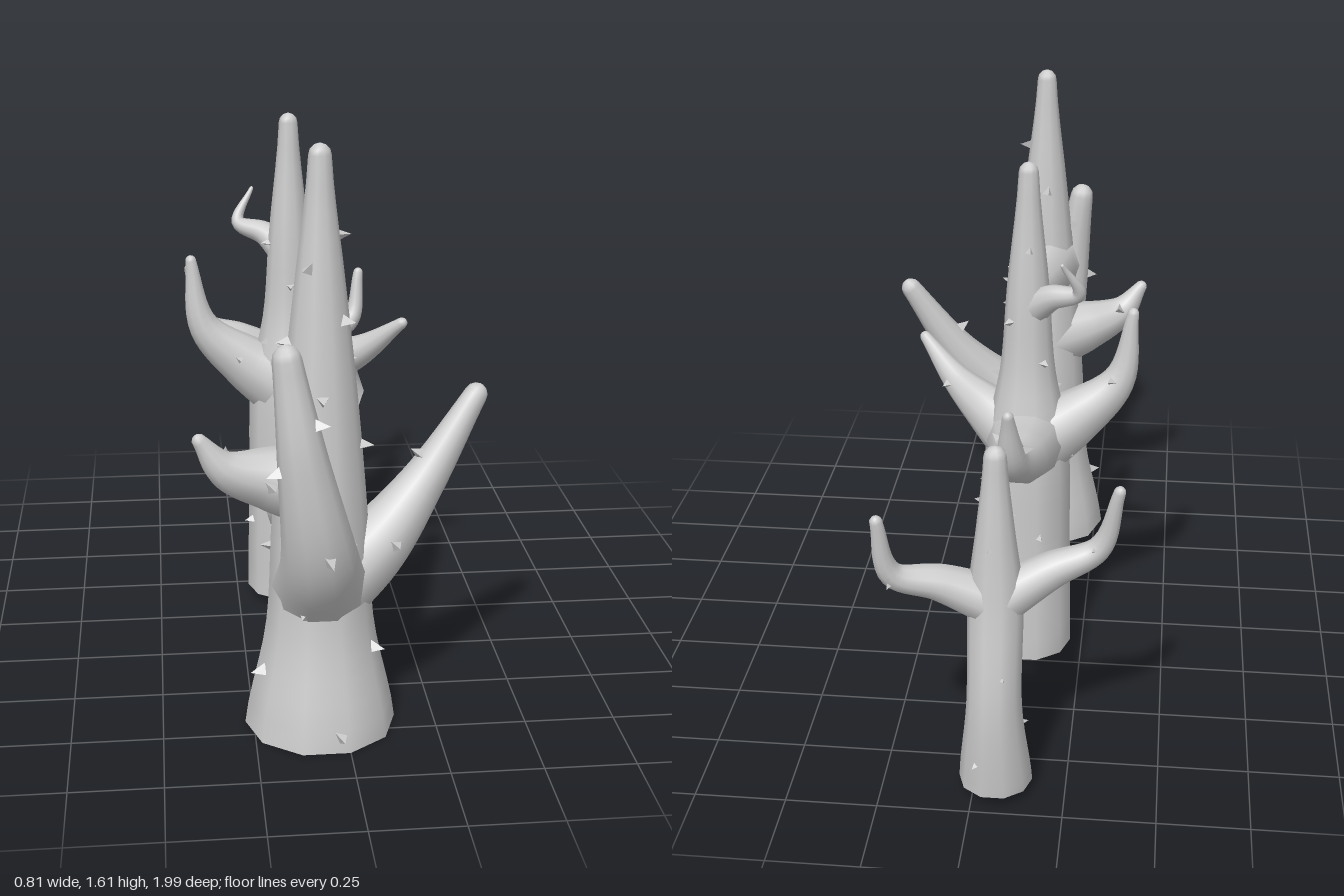
import * as THREE from 'three';

const skin = new THREE.MeshStandardMaterial({ color: 0xcccccc, side: THREE.DoubleSide });
const thornSkin = new THREE.MeshStandardMaterial({ color: 0xcccccc, flatShading: true });
const SIDES = 10;
const UP = new THREE.Vector3(0, 1, 0);

// Tapered tube along a curve, open at the root and rounded at the tip
function limbGeometry({ curve, radius, upright }) {
  const steps = 24, rings = [];
  for (let i = 0; i <= steps; i++) {
    const t = i / steps;
    const dir = i === 0 && upright ? UP : curve.getTangent(t);
    rings.push({ c: curve.getPoint(t), dir, r: radius(t) });
  }
  const end = rings[steps];
  for (const a of [0.5, 1, 1.45]) {
    const c = end.c.clone().addScaledVector(end.dir, end.r * Math.sin(a));
    rings.push({ c, dir: end.dir, r: end.r * Math.cos(a) });
  }
  const pos = [], index = [];
  const n = new THREE.Vector3(1, 0, 0), b = new THREE.Vector3();
  if (Math.abs(rings[0].dir.x) > 0.8) n.set(0, 0, 1);
  rings.forEach(({ c, dir, r }, i) => {
    n.addScaledVector(dir, -n.dot(dir)).normalize();
    b.crossVectors(dir, n);
    for (let j = 0; j < SIDES; j++) {
      const a = j / SIDES * Math.PI * 2;
      const p = c.clone().addScaledVector(n, r * Math.cos(a)).addScaledVector(b, r * Math.sin(a));
      pos.push(p.x, p.y, p.z);
      if (i === 0) continue;
      const k = (j + 1) % SIDES, lo = (i - 1) * SIDES, hi = i * SIDES;
      index.push(lo + j, lo + k, hi + k, lo + j, hi + k, hi + j);
    }
  });
  // Close the tip
  const last = (rings.length - 1) * SIDES;
  for (let j = 1; j < SIDES - 1; j++) index.push(last, last + j, last + j + 1);
  const g = new THREE.BufferGeometry();
  g.setAttribute('position', new THREE.Float32BufferAttribute(pos, 3));
  g.setIndex(index);
  g.computeVertexNormals();
  return g;
}

// Thorns spiral up a limb from parameter start, a golden angle apart
function addThorns(cactus, { curve, radius }, size, count, start) {
  const cone = new THREE.ConeGeometry(size * 0.5, size, 3);
  for (let i = 0; i < count; i++) {
    const t = start + (0.92 - start) * i / count, a = i * 2.4 + 0.2;
    const dir = curve.getTangent(t), out = new THREE.Vector3(Math.sin(a), 0, Math.cos(a));
    out.addScaledVector(dir, -out.dot(dir)).normalize();
    const thorn = new THREE.Mesh(cone, thornSkin);
    thorn.name = 'thorn';
    thorn.position.copy(curve.getPoint(t)).addScaledVector(out, radius(t) * 0.97 + size * 0.35);
    thorn.quaternion.setFromUnitVectors(UP, out);
    cactus.add(thorn);
  }
}

// One cactus at (x, z): addTrunk takes [height, radius] stations, addArm a root height and path
function makeCactus(name, x, z, thornSize) {
  const group = new THREE.Group();
  group.name = name;
  const addLimb = (part, limb, thorns, start) => {
    const mesh = new THREE.Mesh(limbGeometry(limb), skin);
    mesh.name = part;
    group.add(mesh);
    addThorns(group, limb, thornSize, thorns, start);
  };
  return {
    group,
    addTrunk(stations, thorns, sway = 0) {
      const curve = new THREE.CatmullRomCurve3(stations.map(([y]) =>
        new THREE.Vector3(x, y, z - sway * Math.sin(Math.PI * Math.min(y / 0.6, 1)))));
      const radii = new THREE.SplineCurve(stations.map(([, r], i) => new THREE.Vector2(i, r)));
      addLimb('trunk', { curve, radius: t => radii.getPoint(t).y, upright: true }, thorns, 0.03);
    },
    addArm(part, rootY, path, rootR, tipR, thorns) {
      const curve = new THREE.CatmullRomCurve3([[x, rootY, z], ...path].map(p => new THREE.Vector3(...p)));
      const radius = t => tipR + (rootR - tipR) * Math.pow(1 - t, 1.1);
      addLimb(part, { curve, radius }, thorns, 0.4);
    },
  };
}

function largeCactus() {
  const c = makeCactus('largeCactus', -0.065, 0.675, 0.042);
  c.addTrunk([[0, 0.208], [0.3, 0.148], [0.6, 0.13], [0.95, 0.1], [1.25, 0.067], [1.585, 0.03]], 20);
  c.addArm('frontArm', 0.4, [[-0.085, 0.58, 0.86], [-0.13, 0.85, 0.925], [-0.17, 1.125, 0.92]], 0.135, 0.038, 4);
  c.addArm('rightArm', 0.4, [[0.08, 0.505, 0.655], [0.22, 0.665, 0.605], [0.372, 0.9, 0.56]], 0.135, 0.032, 3);
  c.addArm('leftArm', 0.7, [[-0.2, 0.73, 0.7], [-0.32, 0.775, 0.74], [-0.385, 0.86, 0.755]], 0.125, 0.02, 2);
  c.addArm('backArm', 0.96, [[-0.05, 0.96, 0.48], [-0.035, 0.99, 0.345], [-0.04, 1.17, 0.288]], 0.115, 0.016, 3);
  return c.group;
}

function mediumCactus() {
  const c = makeCactus('mediumCactus', -0.08, -0.165, 0.03);
  c.addTrunk([[0.03, 0.137], [0.4, 0.13], [0.72, 0.122], [0.95, 0.079], [1.2, 0.06], [1.53, 0.028]], 18);
  c.addArm('frontArm', 0.3, [[-0.08, 0.38, 0.04], [-0.09, 0.48, 0.13], [-0.105, 0.65, 0.243]], 0.1, 0.017, 3);
  c.addArm('rightArm', 0.7, [[0.03, 0.78, -0.13], [0.14, 0.85, -0.06], [0.245, 0.95, 0.02]], 0.11, 0.017, 2);
  c.addArm('leftArm', 0.7, [[-0.22, 0.79, -0.16], [-0.345, 0.91, -0.15], [-0.38, 1.115, -0.15]], 0.12, 0.017, 2);
  c.addArm('backArm', 0.72, [[-0.075, 0.75, -0.35], [-0.065, 0.8, -0.48], [-0.06, 0.96, -0.55]], 0.125, 0.016, 3);
  c.addArm('topSprout', 1.12, [[-0.15, 1.18, -0.215], [-0.23, 1.21, -0.255], [-0.185, 1.305, -0.298]], 0.055, 0.006, 0);
  return c.group;
}

function smallCactus() {
  const c = makeCactus('smallCactus', -0.06, -0.872, 0.018);
  c.addTrunk([[0.03, 0.1], [0.3, 0.074], [0.6, 0.073], [0.8, 0.05], [1, 0.03]], 12, 0.045);
  c.addArm('rightArm', 0.58, [[0.08, 0.645, -0.9], [0.2, 0.69, -0.945], [0.23, 0.855, -0.975]], 0.07, 0.017, 2);
  c.addArm('leftArm', 0.58, [[-0.2, 0.665, -0.845], [-0.325, 0.73, -0.83], [-0.375, 0.91, -0.86]], 0.07, 0.016, 2);
  return c.group;
}

export function createModel() {
  const model = new THREE.Group();
  model.name = 'cactusGroup';
  model.add(largeCactus(), mediumCactus(), smallCactus());
  return model;
}
